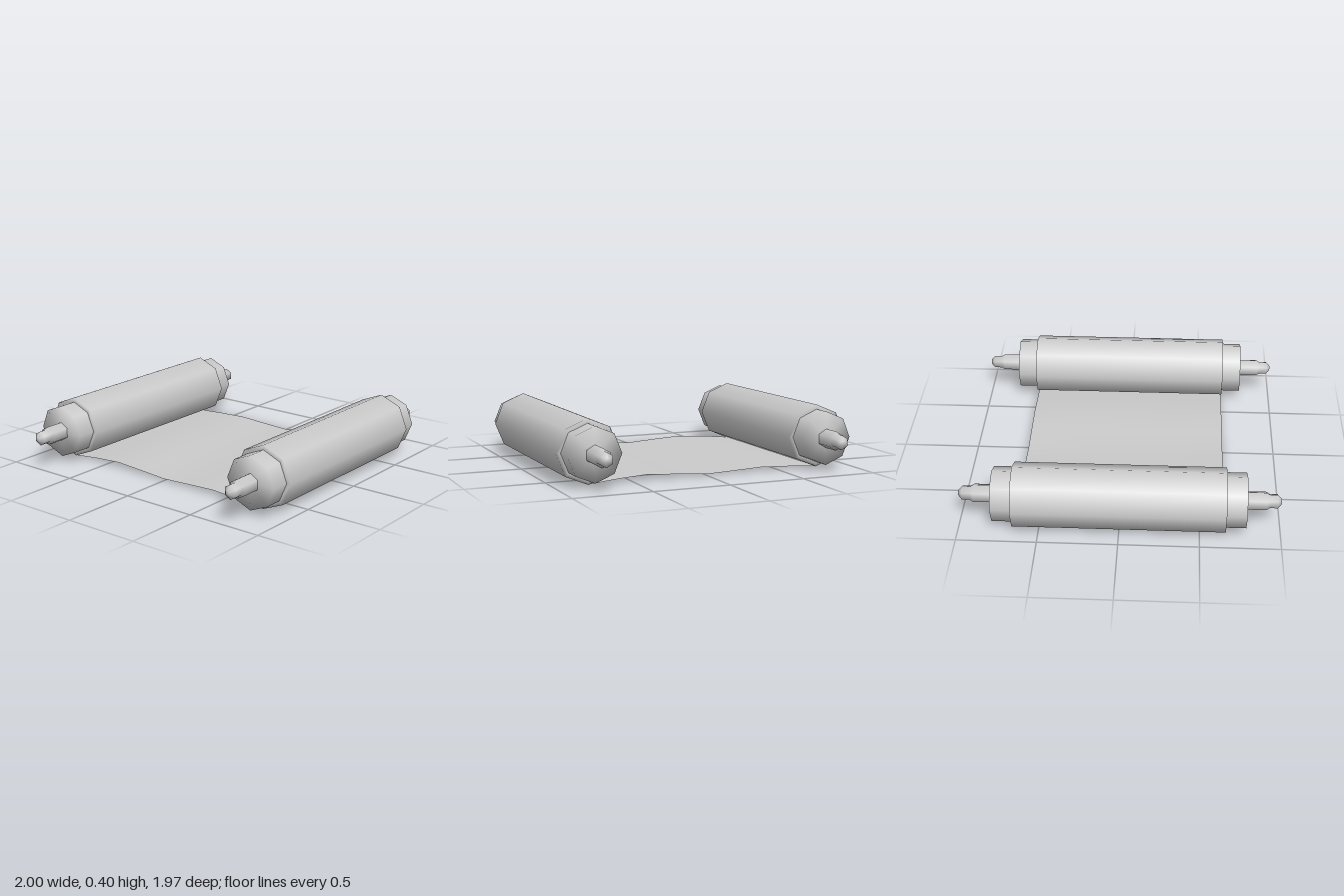
import * as THREE from 'three';

const material = new THREE.MeshStandardMaterial({ color: 0xcccccc, side: THREE.DoubleSide });

// Lathe about the x axis; profile points are [x, radius], with a corner at the top
function turned(name, profile, sides) {
  const points = profile.map(([x, r]) => new THREE.Vector2(r, x));
  const geometry = new THREE.LatheGeometry(points, sides, Math.PI / 2);
  geometry.rotateZ(-Math.PI / 2);
  const mesh = new THREE.Mesh(geometry, material);
  mesh.name = name;
  return mesh;
}

// Rolled paper on an octagonal core with a hexagonal handle at each end
function createRoller(name, z) {
  const roller = new THREE.Group();
  roller.name = name;
  roller.position.set(0, 0.204, z);

  roller.add(turned('paperRoll', [
    [-0.66, 0.17], [-0.66, 0.202], [0.66, 0.202], [0.66, 0.17],
  ], 8));
  roller.add(turned('core', [
    [-0.785, 0], [-0.785, 0.172], [0.785, 0.172], [0.785, 0],
  ], 8));

  for (const side of [1, -1]) {
    const handle = turned(side > 0 ? 'leftHandle' : 'rightHandle', [
      [0.77, 0.061], [0.905, 0.061], [0.925, 0.047], [0.975, 0.047], [1, 0.018], [1, 0],
    ], 6);
    if (side < 0) handle.rotation.y = Math.PI;
    roller.add(handle);
  }
  return roller;
}

// Open sheet lying between the rolls, gently waved and slightly twisted
function createSheet() {
  const wave = (heights) => new THREE.CatmullRomCurve3(
    heights.map((y, i) => new THREE.Vector3(0, y, 0.785 - i * 0.3925)));
  const leftEdge = wave([0.003, 0.036, 0.008, 0.025, 0.003]);
  const rightEdge = wave([0.003, 0.03, 0.012, 0.036, 0.003]);

  const geometry = new THREE.PlaneGeometry(1.315, 1.57, 4, 8);
  geometry.rotateX(-Math.PI / 2);
  const p = geometry.attributes.position;
  for (let i = 0; i < p.count; i++) {
    const t = THREE.MathUtils.clamp((0.785 - p.getZ(i)) / 1.57, 0, 1);
    const s = p.getX(i) / 1.315 + 0.5;
    p.setY(i, THREE.MathUtils.lerp(rightEdge.getPoint(t).y, leftEdge.getPoint(t).y, s));
  }
  geometry.computeVertexNormals();
  const sheet = new THREE.Mesh(geometry, material);
  sheet.name = 'sheet';
  return sheet;
}

export function createModel() {
  const model = new THREE.Group();
  model.name = 'scroll';
  model.add(createRoller('frontRoller', 0.782), createRoller('backRoller', -0.782), createSheet());
  return model;
}
